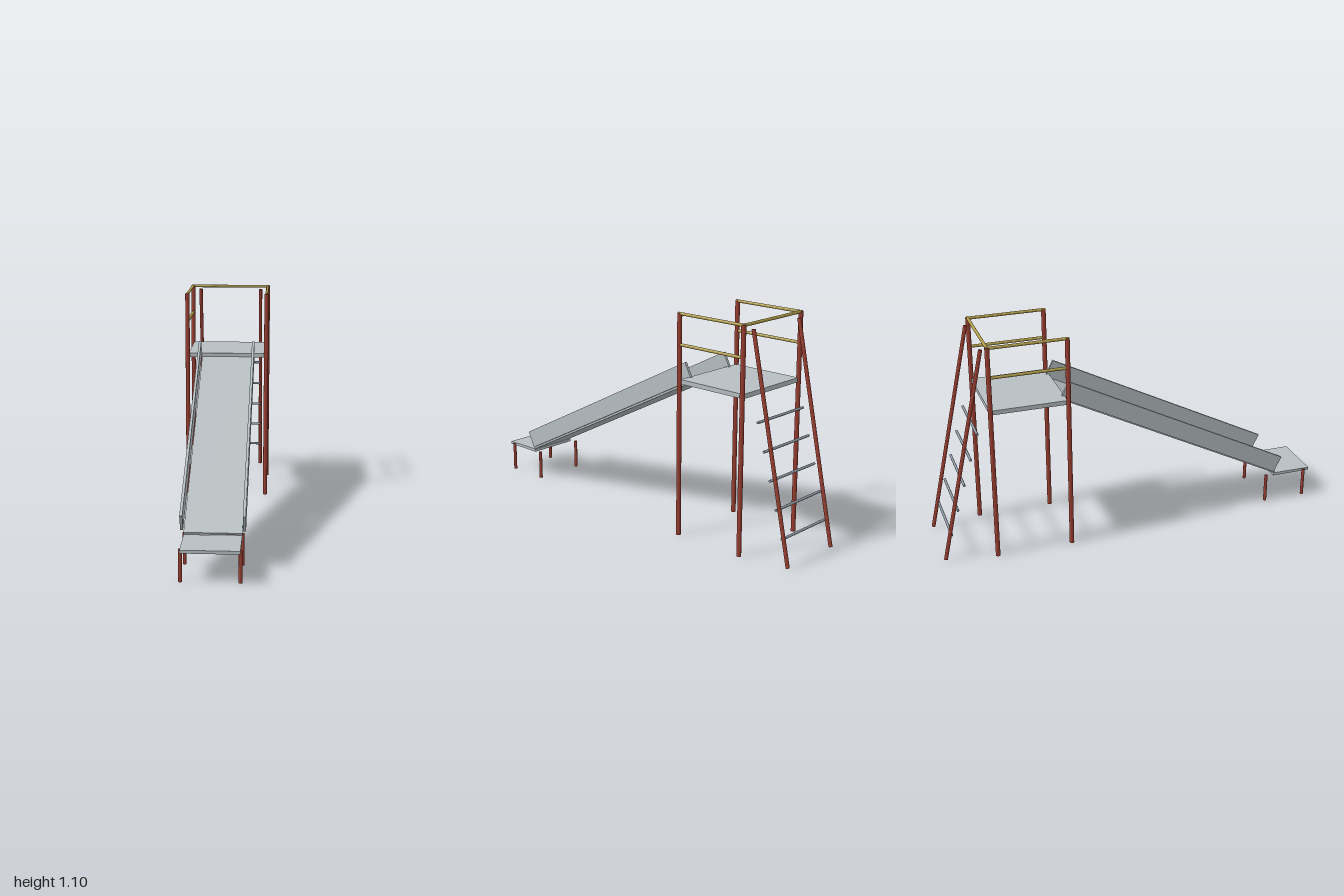
import * as THREE from 'three';

const red = new THREE.MeshStandardMaterial({ color: 0x9b3f32 });
red.name = 'red paint';
const yellow = new THREE.MeshStandardMaterial({ color: 0xb09c4a });
yellow.name = 'yellow paint';
const grey = new THREE.MeshStandardMaterial({ color: 0xb7bfc2 });
grey.name = 'grey sheet metal';
const steel = new THREE.MeshStandardMaterial({ color: 0x8c96a0 });
steel.name = 'rung steel';

// Round bar between two points
function bar(name, a, b, radius, material) {
  const from = new THREE.Vector3(...a), to = new THREE.Vector3(...b);
  const dir = to.clone().sub(from);
  const mesh = new THREE.Mesh(new THREE.CylinderGeometry(radius, radius, dir.length(), 16), material);
  mesh.position.copy(from).add(to).multiplyScalar(0.5);
  mesh.quaternion.setFromUnitVectors(new THREE.Vector3(0, 1, 0), dir.normalize());
  mesh.name = name;
  return mesh;
}

function box(name, size, pos, material) {
  const mesh = new THREE.Mesh(new THREE.BoxGeometry(...size), material);
  mesh.position.set(...pos);
  mesh.name = name;
  return mesh;
}

export function createModel() {
  const model = new THREE.Group();
  model.name = 'playgroundSlide';
  const zFront = -0.355, zBack = -0.735, xPost = 0.21;

  // Tower platform
  model.add(box('platform', [0.41, 0.022, 0.38], [0, 0.77, -0.547], grey));

  // Inclined chute: local z runs down the slope
  const chute = new THREE.Group();
  chute.name = 'chute';
  chute.position.set(0, 0.4715, 0.205);
  chute.rotation.x = Math.atan2(0.597, 1.16);
  chute.add(box('chuteBed', [0.264, 0.012, 1.3], [0, -0.004, 0.018], grey));
  model.add(chute);

  for (const s of [-1, 1]) {
    const x = s * xPost;
    // Tower posts and side guard rails
    for (const z of [zFront, zBack]) model.add(bar('post', [x, 0, z], [x, 1.1, z], 0.0115, red));
    for (const y of [0.95, 1.097]) {
      model.add(bar('sideRail', [x, y, zFront + 0.008], [x, y, zBack - 0.008], 0.0075, yellow));
    }
    // Ladder stringers
    model.add(bar('ladderRail', [s * 0.168, 0.003, -0.987], [s * 0.168, 1.077, -0.757], 0.0095, red));
    // Chute walls
    chute.add(box('chuteWall', [0.013, 0.09, 1.305], [s * 0.1415, 0.045, 0], grey));
    // Run-out legs
    for (const z of [0.75, 0.97]) {
      model.add(bar('runOutLeg', [s * 0.132, 0, z], [s * 0.132, 0.15, z], 0.0085, red));
    }
  }

  // Rear guard rail
  model.add(bar('backRail', [-0.218, 1.097, zBack], [0.218, 1.097, zBack], 0.0075, yellow));

  // Ladder rungs
  for (let i = 0; i < 5; i++) {
    const y = 0.133 + i * 0.13, z = -0.95 + i * 0.0388;
    model.add(bar('rung', [-0.17, y, z], [0.17, y, z], 0.0065, steel));
  }

  // Flat run-out at the foot
  model.add(box('runOut', [0.264, 0.015, 0.207], [0, 0.148, 0.8965], grey));
  return model;
}
